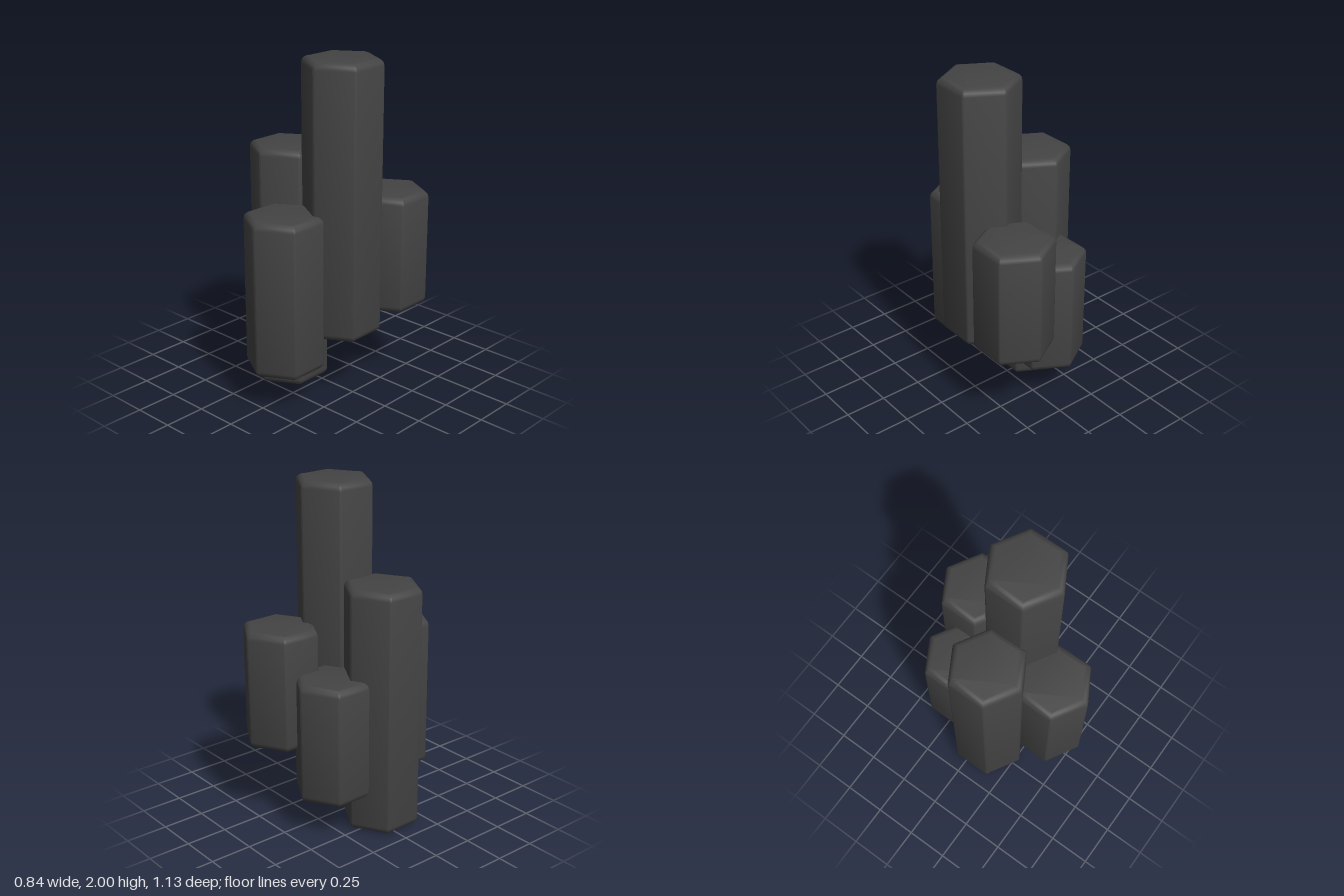
import * as THREE from 'three';
import { toCreasedNormals } from 'three/addons/utils/BufferGeometryUtils.js';

const RADIUS = 0.232; // centre to corner
const BEVEL = 0.04;

// Hexagon with corners towards +z and -z, each corner slightly rounded
function hexagon() {
  const shape = new THREE.Shape();
  const corner = (i) => {
    const a = Math.PI / 2 + (i * Math.PI) / 3;
    return new THREE.Vector2(Math.cos(a), Math.sin(a)).multiplyScalar(RADIUS);
  };
  for (let i = 0; i < 6; i++) {
    const c = corner(i);
    const start = c.clone().lerp(corner(i - 1), 0.04);
    const end = c.clone().lerp(corner(i + 1), 0.04);
    if (i === 0) shape.moveTo(start.x, start.y);
    else shape.lineTo(start.x, start.y);
    shape.quadraticCurveTo(c.x, c.y, end.x, end.y);
  }
  shape.closePath();
  return shape;
}

// Upright hexagonal column with softened rims, from bottom to top
function columnGeometry(bottom, top) {
  const geometry = new THREE.ExtrudeGeometry(hexagon(), {
    depth: top - bottom - 2 * BEVEL,
    curveSegments: 2,
    bevelEnabled: true,
    bevelThickness: BEVEL,
    bevelSize: BEVEL,
    bevelOffset: -BEVEL,
    bevelSegments: 3,
  });
  geometry.rotateX(-Math.PI / 2);
  geometry.translate(0, bottom + BEVEL, 0);
  return toCreasedNormals(geometry, 0.75);
}

export function createModel() {
  const group = new THREE.Group();
  group.name = 'basaltColumns';
  const stone = new THREE.MeshStandardMaterial({ color: 0x444444 });

  // name, x, z, bottom, top
  const columns = [
    ['tallColumn', 0.17, 0.02, 0.4, 2.0],
    ['longColumn', -0.217, 0.05, 0, 1.46],
    ['frontColumn', 0.022, 0.335, 0.225, 1.15],
    ['backRightColumn', 0.219, -0.338, 0.48, 1.185],
    ['backColumn', -0.113, -0.225, 0.225, 0.94],
  ];
  for (const [name, x, z, bottom, top] of columns) {
    const mesh = new THREE.Mesh(columnGeometry(bottom, top), stone);
    mesh.name = name;
    mesh.position.set(x, 0, z);
    group.add(mesh);
  }
  return group;
}
